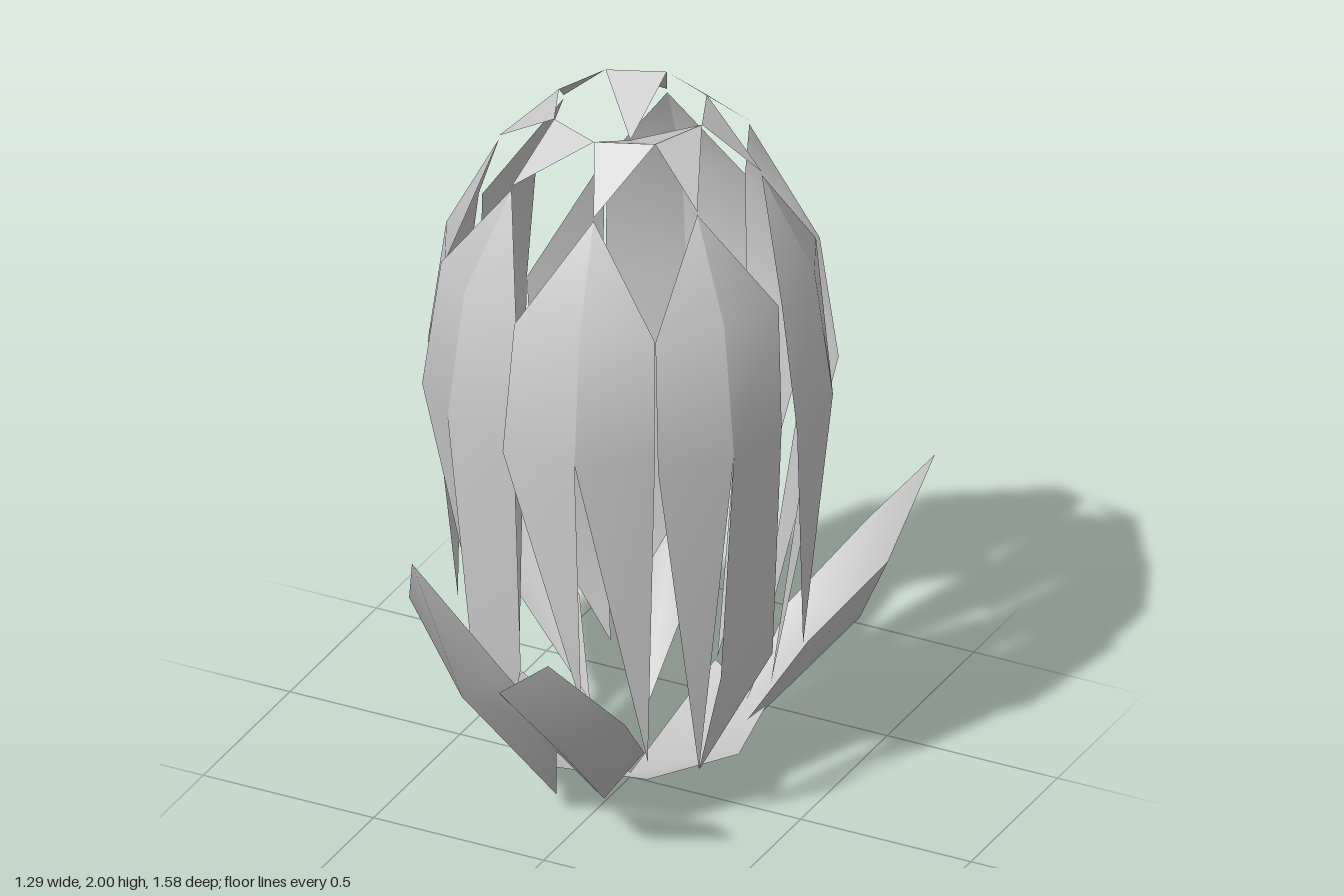
import * as THREE from 'three';

const CX = -0.01, CZ = -0.02; // axis of the bud
const STEP = 45;

// point on the bud: angle in degrees from the front towards +x
function polar(deg, r, y) {
  const a = THREE.MathUtils.degToRad(deg);
  return new THREE.Vector3(CX + r * Math.sin(a), y, CZ + r * Math.cos(a));
}

const material = new THREE.MeshStandardMaterial({ color: 0xcccccc, side: THREE.DoubleSide });

function surface(name, points, faces) {
  const geo = new THREE.BufferGeometry().setFromPoints(points);
  geo.setIndex(faces.flat());
  geo.computeVertexNormals();
  const mesh = new THREE.Mesh(geo, material);
  mesh.name = name;
  return mesh;
}

const QUAD = [[1, 2, 4], [1, 4, 3]];
const TORN = [[1, 2, 3]];
const TOP = [[3, 4, 5]];

// one lobe of a petal: foot, widest row, upper row, tip; broad lobes stay wide lower down
function lobe(name, foot, rows, tip, { torn = false, broad = null } = {}) {
  const points = [foot, ...rows, tip];
  const faces = torn ? [...TORN] : [...QUAD, ...TOP];
  if (broad) {
    points.push(...broad);
    faces.push([0, 7, 6], [6, 7, 2], [6, 2, 1]);
  } else {
    faces.push([0, 2, 1]);
  }
  return surface(name, points, faces);
}

// petal made of two lobes that share a tip
function petal(i) {
  const a = i * STEP;
  const long = i % 2 === 1;
  const left = [polar(a - 10.5, 0.55, 1.21), polar(a - 10.5, 0.5, 1.57), polar(a - 10.5, 0.5, 0.6)];
  const middle = [polar(a + 11.5, 0.55, 1.22), polar(a + 11.5, 0.5, 1.58), polar(a + 11.5, 0.48, 0.52)];
  const right = [polar(a + 34.3, 0.5, 1.21), polar(a + 34.3, 0.49, 1.57), polar(a + 34.3, 0.47, 0.52)];
  const tip = polar(a + 11.3, 0.357, 1.85);
  const foot = polar(a + 11, long ? 0.37 : 0.47, long ? 0.19 : 0.46);
  const rightFoot = polar(a + 34, 0.37, long ? 0.18 : 0.24);
  const solid = i === 1 || i === 7; // both lobes grown together

  const group = new THREE.Group();
  group.name = 'petal';
  group.add(
    lobe('leftLobe', i === 5 ? polar(a - 10, 0.37, 0.19) : foot,
      [left[0], middle[0], left[1], middle[1]], tip,
      i === 5 ? { torn: true, broad: [left[2], middle[2]] } : {}),
    lobe('rightLobe', solid ? foot : rightFoot,
      [middle[0], right[0], middle[1], right[1]], tip,
      solid || i === 4 ? { broad: [middle[2], right[2]] } : {}),
  );
  return group;
}

// small scale closing the top, hanging from the upper ring
function crownScale(i) {
  const a = i * STEP;
  return surface('crownScale',
    [polar(a, 0.21, 2), polar(a + STEP, 0.21, 2), polar(a + 11.3, 0.357, 1.86)], [[0, 2, 1]]);
}

// flap folded into the top opening
function crownFlap(a) {
  return surface('crownFlap',
    [polar(0, 0, 1.9), polar(a, 0.21, 2), polar(a + STEP, 0.21, 2)], [[0, 1, 2]]);
}

// open outer leaf: outline around a sunken midrib point
function sepal(base, left, tip, right, mid) {
  const [b, l, t, r, m] = [base, left, tip, right, mid].map((p) => new THREE.Vector3(...p));
  const low = (side) => {
    const rib = b.clone().lerp(m, 0.6);
    return rib.lerp(b.clone().lerp(side, 0.5), 1.85);
  };
  return surface('sepal', [m, b, low(r), r, t, l, low(l)],
    [[0, 1, 2], [0, 2, 3], [0, 3, 4], [0, 4, 5], [0, 5, 6], [0, 6, 1]]);
}

export function createModel() {
  const group = new THREE.Group();
  group.name = 'flowerBud';

  for (let i = 0; i < 8; i++) {
    group.add(petal(i));
    group.add(crownScale(i));
  }
  for (const a of [0, 45, 180]) group.add(crownFlap(a));

  // shallow cup under the bud, open at the back left
  const rim = [], faces = [];
  for (let i = 0; i <= 6; i++) {
    rim.push(polar(-101 + i * STEP, 0.36, 0.18));
    if (i > 0) faces.push([0, i + 1, i]);
  }
  group.add(surface('baseCup', [new THREE.Vector3(CX, 0, CZ), ...rim], faces));

  // base, left edge, tip, right edge, midrib (seen from outside)
  const sepals = [
    [[0.04, 0.06, 0.23], [-0.05, 0.57, 0.66], [0.16, 0.77, 0.79], [0.29, 0.53, 0.6], [0.1, 0.38, 0.58]],
    [[-0.09, 0.05, 0.25], [-0.37, 0.72, 0.55], [-0.26, 0.95, 0.75], [-0.04, 0.63, 0.65], [-0.2, 0.48, 0.58]],
    [[0.2, 0.06, -0.16], [0.62, 0.67, -0.27], [0.64, 0.88, -0.5], [0.42, 0.61, -0.54], [0.48, 0.41, -0.38]],
    [[-0.09, 0.04, -0.26], [-0.05, 0.75, -0.7], [-0.25, 1.06, -0.79], [-0.37, 0.8, -0.6], [-0.18, 0.5, -0.64]],
    [[-0.22, 0.07, -0.2], [-0.48, 0.45, -0.44], [-0.65, 0.74, -0.58], [-0.65, 0.52, -0.33], [-0.47, 0.35, -0.32]],
  ];
  for (const s of sepals) group.add(sepal(...s));

  return group;
}
